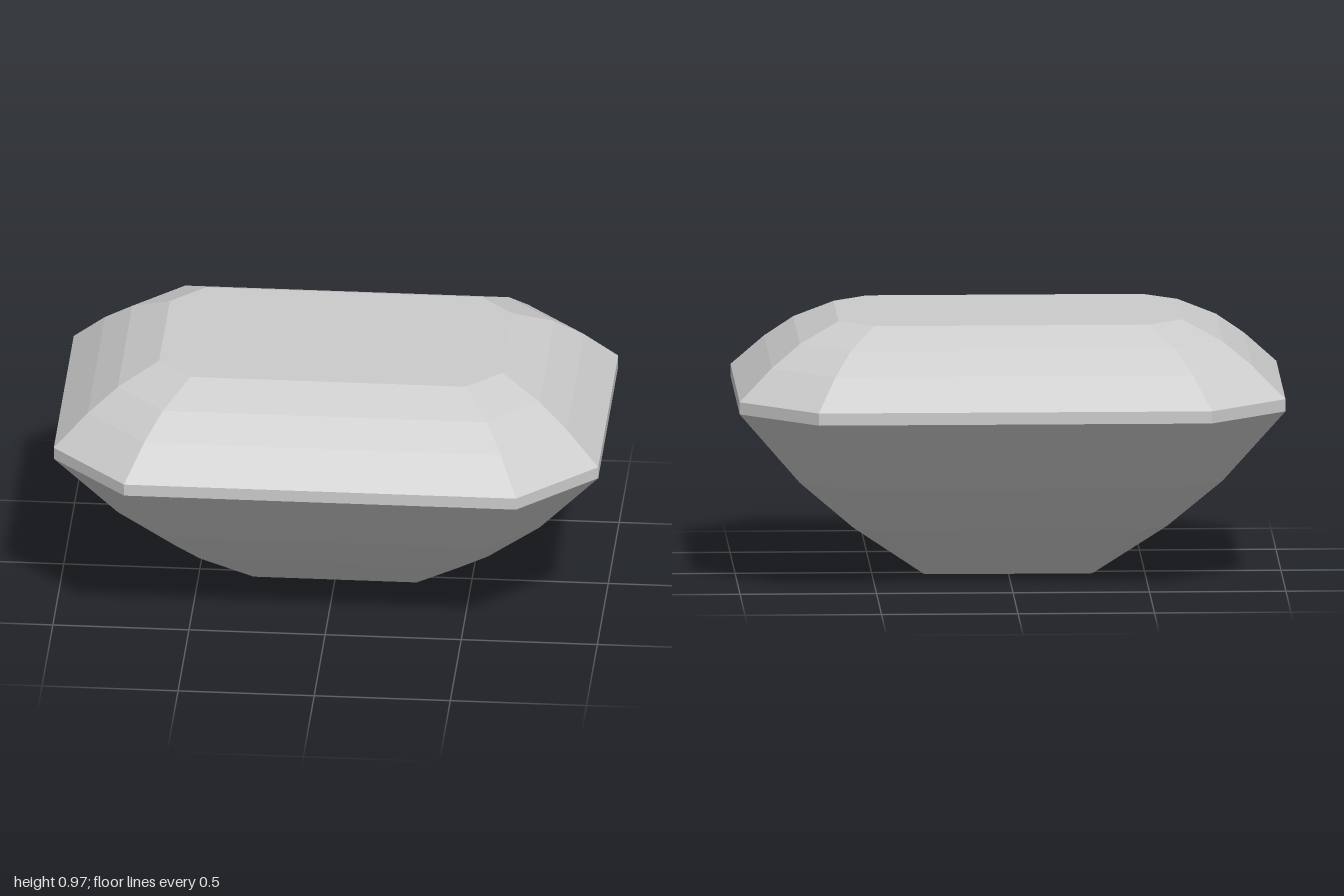
import * as THREE from 'three';

// Octagonal gem levels from bottom to top: [height, half width, corner cut]
const LEVELS = [
  [0, 0.31, 0.01],
  [0.2, 0.575, 0.1],
  [0.385, 0.775, 0.185],
  [0.66, 1, 0.28],
  [0.705, 1, 0.28],
  [0.82, 0.88, 0.225],
  [0.9, 0.775, 0.18],
  [0.97, 0.63, 0.125],
];
const DEPTH_INSET = 0.262; // half depth is this much less than half width

// Rectangle with cut corners at one level, running from +x towards +z
function ring([y, hx, cut]) {
  const hz = hx - DEPTH_INSET;
  const cx = hx - cut;
  const cz = hz - cut;
  return [
    [hx, cz], [cx, hz], [-cx, hz], [-hx, cz],
    [-hx, -cz], [-cx, -hz], [cx, -hz], [hx, -cz],
  ].map(([x, z]) => [x, y, z]);
}

function facetMesh(name, triangles) {
  const geometry = new THREE.BufferGeometry();
  geometry.setAttribute('position', new THREE.Float32BufferAttribute(triangles.flat(2), 3));
  geometry.computeVertexNormals();
  const material = new THREE.MeshStandardMaterial({ color: 0xcccccc, flatShading: true });
  const mesh = new THREE.Mesh(geometry, material);
  mesh.name = name;
  return mesh;
}

// Bands of flat facets joining consecutive levels
function bands(name, levels) {
  const rings = levels.map(ring);
  const triangles = [];
  for (let r = 0; r < rings.length - 1; r++) {
    const low = rings[r];
    const high = rings[r + 1];
    for (let i = 0; i < 8; i++) {
      const j = (i + 1) % 8;
      triangles.push([low[i], high[i], high[j]], [low[i], high[j], low[j]]);
    }
  }
  return facetMesh(name, triangles);
}

// Flat octagon closing the top or bottom
function cap(name, level, facesUp) {
  const p = ring(level);
  const triangles = [];
  for (let i = 1; i < 7; i++) {
    triangles.push(facesUp ? [p[0], p[i + 1], p[i]] : [p[0], p[i], p[i + 1]]);
  }
  return facetMesh(name, triangles);
}

export function createModel() {
  const gem = new THREE.Group();
  gem.name = 'emeraldCutGem';
  gem.add(
    cap('culet', LEVELS[0], false),
    bands('pavilion', LEVELS.slice(0, 4)),
    bands('girdle', LEVELS.slice(3, 5)),
    bands('crown', LEVELS.slice(4)),
    cap('table', LEVELS[7], true),
  );
  return gem;
}
